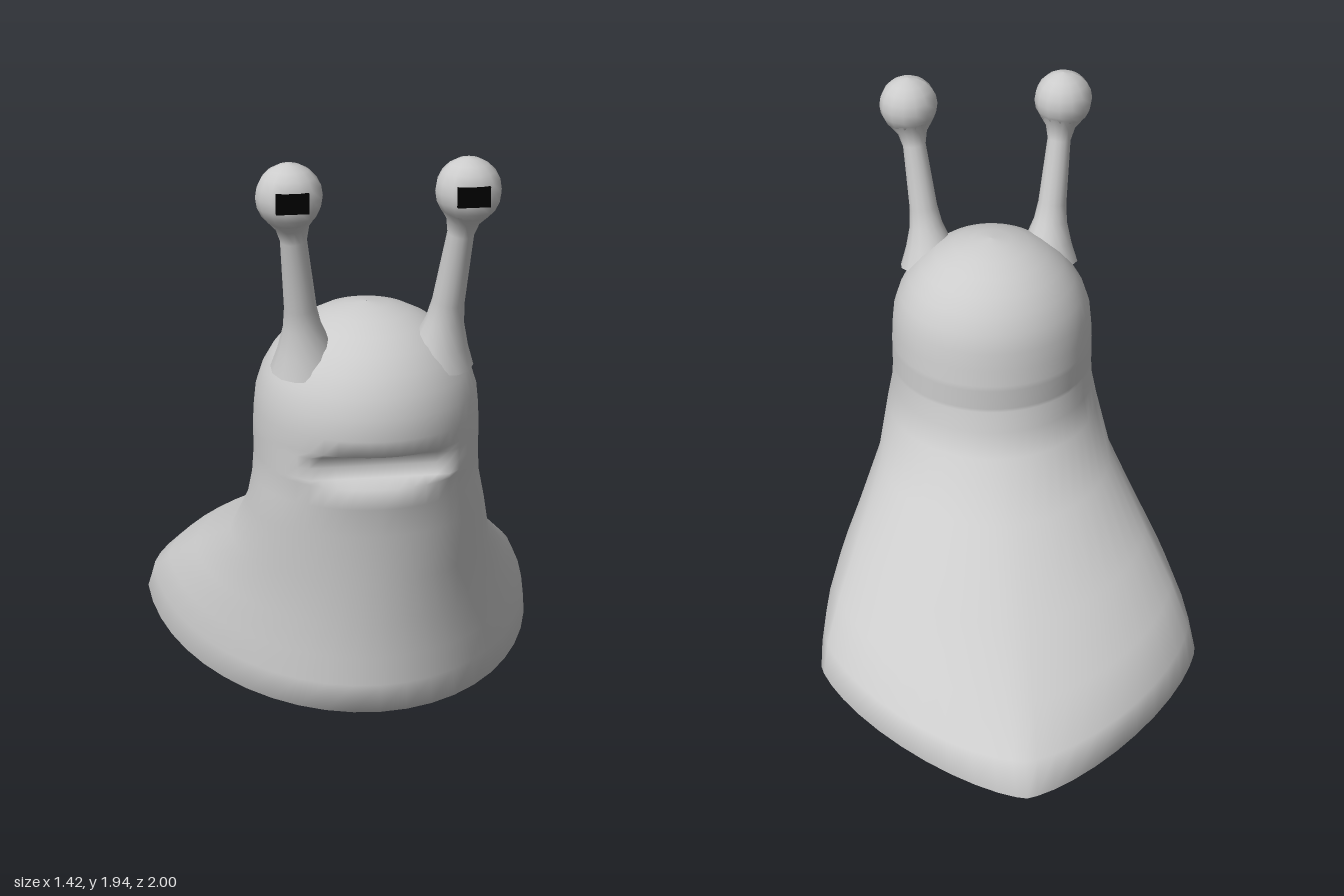
import * as THREE from 'three';

const SEG = 48;
const grey = new THREE.MeshStandardMaterial({ color: 0xcccccc });
const black = new THREE.MeshStandardMaterial({ color: 0x000000 });

// Body levels from the foot to the lower lip: height, half width, front z, back z
const levels = [
  [0.00, 0.69, 0.86, -0.95],
  [0.03, 0.71, 0.95, -1.00],
  [0.13, 0.69, 0.95, -0.92],
  [0.23, 0.64, 0.945, -0.72],
  [0.35, 0.56, 0.945, -0.43],
  [0.51, 0.455, 0.95, -0.04],
  [0.68, 0.41, 0.96, 0.16],
  [0.78, 0.39, 0.97, 0.19],
].map(([y, w, front, back]) => ({ y, w, front, back, limit: front }));

// Mouth: the same outline cut back to a limit in z between the lips
for (const [y, limit] of [[0.857, 0.985], [0.872, 0.91], [0.91, 0.895], [0.95, 0.905], [0.972, 0.99]])
  levels.push({ y, w: 0.385, front: 0.99, back: 0.215, limit });

// Domed head
const DOME = 8;
for (let i = 0; i <= DOME; i++) {
  const t = (i / DOME) * Math.PI / 2;
  const r = Math.max(Math.cos(t), 0.002);
  levels.push({ y: 1.03 + 0.36 * Math.sin(t), w: 0.382 * r, front: 0.6 + 0.4 * r, back: 0.6 - 0.373 * r, limit: 1 });
}

// One point of a level's outline; angle 0 is the front, running towards +x.
// The back is pointed at the tail and becomes round higher up.
function outline({ y, w, front, back, limit }, angle) {
  const s = Math.sin(angle), c = Math.cos(angle);
  const middle = Math.min(0.6, back + 1.1 * w);
  const power = c > 0 ? 1 : 2 / Math.min(2, 1.35 + y);
  const x = w * Math.sign(s) * Math.abs(s) ** power;
  const z = middle + ((c > 0 ? front : back) - middle) * Math.abs(c) ** power;
  return [x, y, Math.min(z, limit)];
}

// Loft through the levels, sharing vertices for smooth normals
function bodyGeometry() {
  const pos = [], index = [];
  for (const level of levels)
    for (let i = 0; i < SEG; i++) pos.push(...outline(level, (i / SEG) * Math.PI * 2));
  for (let r = 0; r < levels.length - 1; r++)
    for (let i = 0; i < SEG; i++) {
      const a = r * SEG + i, b = r * SEG + (i + 1) % SEG;
      const c = a + SEG, d = b + SEG;
      index.push(a, b, d, a, d, c);
    }
  const geo = new THREE.BufferGeometry();
  geo.setAttribute('position', new THREE.Float32BufferAttribute(pos, 3));
  geo.setIndex(index);
  geo.computeVertexNormals();
  return geo;
}

// Flat underside, filled from the lowest outline
function soleGeometry() {
  const points = [];
  for (let i = 0; i < SEG; i++) {
    const [x, , z] = outline(levels[0], (i / SEG) * Math.PI * 2);
    points.push(new THREE.Vector2(x, z));
  }
  return new THREE.ShapeGeometry(new THREE.Shape(points)).rotateX(Math.PI / 2);
}

// Eyeball with a flattened front that carries the pupil
function eyeballGeometry() {
  const geo = new THREE.SphereGeometry(0.109, 14, 10);
  const p = geo.attributes.position;
  for (let i = 0; i < p.count; i++) p.setZ(i, Math.min(p.getZ(i), 0.094));
  geo.computeVertexNormals();
  return geo;
}

function add(parent, name, geo, material) {
  const mesh = new THREE.Mesh(geo, material);
  mesh.name = name;
  parent.add(mesh);
  return mesh;
}

// Eye on a stalk that flares into the head and into the eyeball
function eye(side) {
  const group = new THREE.Group();
  group.name = side > 0 ? 'leftEye' : 'rightEye';
  const base = new THREE.Vector3(side * 0.222, 1.22, 0.735);
  const centre = new THREE.Vector3(side * 0.291, 1.83, 0.86);
  const profile = [[0.12, 0], [0.09, 0.07], [0.064, 0.15], [0.054, 0.22], [0.044, 0.47], [0.056, 0.52], [0.085, 0.56]]
    .map(([r, y]) => new THREE.Vector2(r, y));
  const stalk = add(group, 'eyeStalk', new THREE.LatheGeometry(profile, 14), grey);
  stalk.position.copy(base);
  stalk.quaternion.setFromUnitVectors(new THREE.Vector3(0, 1, 0), centre.clone().sub(base).normalize());
  add(group, 'eyeball', eyeballGeometry(), grey).position.copy(centre);
  add(group, 'pupil', new THREE.BoxGeometry(0.106, 0.066, 0.02), black)
    .position.set(centre.x, 1.829, 0.95);
  return group;
}

export function createModel() {
  const model = new THREE.Group();
  model.name = 'slug';
  add(model, 'body', bodyGeometry(), grey);
  add(model, 'sole', soleGeometry(), grey);
  for (const side of [1, -1]) model.add(eye(side));
  return model;
}
